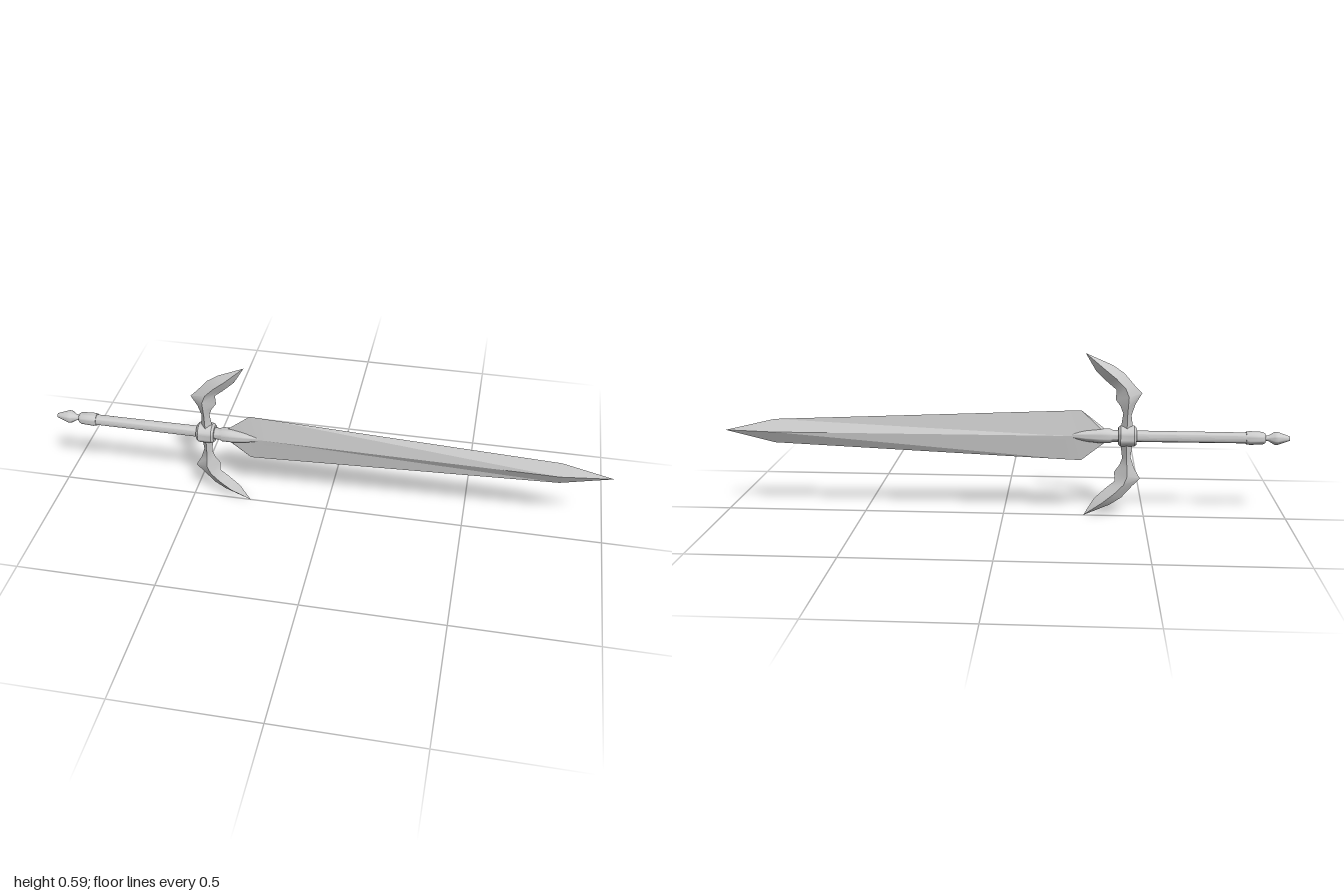
import * as THREE from 'three';
import { toCreasedNormals } from 'three/addons/utils/BufferGeometryUtils.js';

const material = new THREE.MeshStandardMaterial({ color: 0xcccccc });

function part(name, geometry, crease = 0.6) {
  const mesh = new THREE.Mesh(toCreasedNormals(geometry, crease), material);
  mesh.name = name;
  return mesh;
}

// Turned part lying along x, from [x, radius] pairs
function turned(name, profile) {
  const points = profile.map(([x, r]) => new THREE.Vector2(r, x));
  return part(name, new THREE.LatheGeometry(points, 24).rotateZ(-Math.PI / 2));
}

// Skin over a row of four-cornered rings
function loft(rings) {
  const index = [];
  for (let r = 0; r < rings.length - 1; r++) {
    for (let i = 0; i < 4; i++) {
      const a = r * 4 + i, b = r * 4 + (i + 1) % 4;
      index.push(a, a + 4, b, b, a + 4, b + 4);
    }
  }
  const geometry = new THREE.BufferGeometry();
  geometry.setAttribute('position', new THREE.Float32BufferAttribute(rings.flat(2), 3));
  geometry.setIndex(index);
  return geometry;
}

// Blade: diamond sections as [x, half width, half thickness]
function blade() {
  const rings = [
    [-0.37, 0.015, 0.012], [-0.275, 0.09, 0.011], [-0.22, 0.088, 0.012],
    [0.82, 0.043, 0.022], [1, 0, 0],
  ].map(([x, w, t]) => [[x, -w, 0], [x, 0, t], [x, w, 0], [x, 0, -t]]);
  return part('blade', loft(rings), 0.15);
}

// Guard arm: outer edge x, y, inner edge x, y, half thickness
function guardArm(name) {
  const rings = [
    [-0.456, 0.015, -0.412, 0.015, 0.021],
    [-0.454, 0.037, -0.414, 0.037, 0.021],
    [-0.449, 0.075, -0.42, 0.08, 0.021],
    [-0.462, 0.115, -0.411, 0.105, 0.021],
    [-0.484, 0.154, -0.393, 0.13, 0.021],
    [-0.457, 0.182, -0.395, 0.165, 0.021],
    [-0.42, 0.225, -0.365, 0.19, 0.021],
    [-0.38, 0.252, -0.323, 0.23, 0.021],
    [-0.286, 0.293, -0.286, 0.293, 0],
  ].map(([ax, ay, bx, by, t]) => {
    const mx = (ax + bx) / 2, my = (ay + by) / 2;
    return [[bx, by, 0], [mx, my, t], [ax, ay, 0], [mx, my, -t]];
  });
  return part(name, loft(rings), 0.55);
}

export function createModel() {
  const sword = new THREE.Group();
  sword.name = 'sword';
  sword.position.y = 0.294;

  sword.add(turned('pommel', [
    [-1, 0], [-0.998, 0.008], [-0.955, 0.023], [-0.945, 0.022],
    [-0.925, 0.01], [-0.912, 0.01], [-0.908, 0],
  ]));
  sword.add(turned('pommelCollar', [
    [-0.914, 0], [-0.914, 0.017], [-0.905, 0.022], [-0.86, 0.024], [-0.848, 0.022], [-0.848, 0],
  ]));
  sword.add(turned('grip', [[-0.86, 0], [-0.86, 0.019], [-0.45, 0.02], [-0.45, 0]]));
  sword.add(turned('guardCollar', [
    [-0.468, 0], [-0.468, 0.03], [-0.46, 0.037], [-0.412, 0.037], [-0.404, 0.03], [-0.404, 0],
  ]));
  sword.add(turned('bladeSocket', [
    [-0.41, 0], [-0.41, 0.021], [-0.385, 0.021], [-0.375, 0.026], [-0.34, 0.026],
    [-0.29, 0.021], [-0.24, 0.011], [-0.24, 0],
  ]));

  // Two mirrored guard arms
  const lower = guardArm('lowerGuardArm');
  lower.rotation.x = Math.PI;
  sword.add(guardArm('upperGuardArm'), lower, blade());

  const model = new THREE.Group();
  model.add(sword);
  return model;
}
